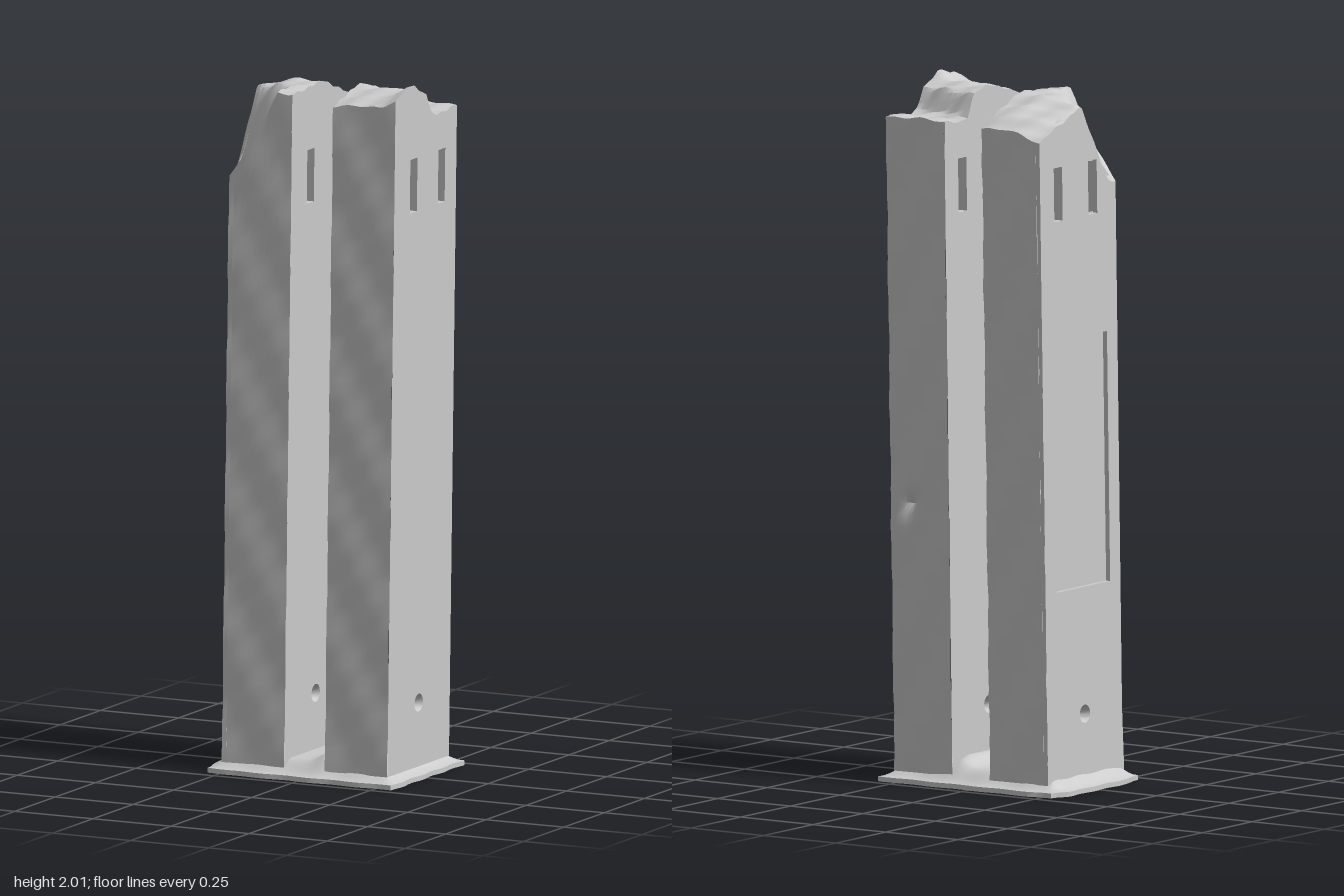
import * as THREE from 'three';
import { toCreasedNormals } from 'three/addons/utils/BufferGeometryUtils.js';

const W = 0.2, D = 0.19, FLOOR = 0.03;
const material = new THREE.MeshStandardMaterial({ color: 0xcccccc });
const clamp = (v) => Math.min(1, Math.max(0, v));
const smooth = (v) => { const t = clamp(v); return t * t * (3 - 2 * t); };

// Straight-line interpolation through [position, value] pairs
function profile(points, p) {
  for (let i = 1; i < points.length; i++) {
    const [a, va] = points[i - 1], [b, vb] = points[i];
    if (p <= b) return va + (vb - va) * clamp((p - a) / (b - a));
  }
  return points[points.length - 1][1];
}

const chips = (u, z) => 0.006 * Math.sin(u * 47 + z * 61) * Math.sin(z * 38 - u * 20 + 1);

// Broken top of the right tower: a ridge with its front outer corner sheared off
function rightTop(u, z) {
  const ridge = profile([[-0.19, 1.91], [-0.12, 1.945], [-0.05, 1.965], [0, 1.985], [0.19, 1.98]], z);
  const side = clamp((0.145 - u) / 0.145);
  const front = clamp((z - 0.02 - u * 0.5) / 0.13);
  return ridge - 0.03 * clamp(1 - u / 0.12) - 0.22 * Math.pow(side, 0.55) * front + chips(u, z);
}

// Broken top of the left tower: a high front half stepping down to the back
function leftTop(u, z) {
  const crack = z + 0.05 - u * 0.2;
  const base = profile([[-0.15, 1.915], [-0.06, 1.905], [-0.02, 1.915], [0.01, 1.975],
    [0.08, 1.99], [0.16, 1.975], [0.24, 1.955]], crack);
  return base + 0.025 * smooth((u - 0.15) / 0.05) * smooth((z - 0.03) / 0.05) + chips(u, z);
}

const HOLE_Y = 0.215;

// One wall layer of a tower, pierced by slots, a drain hole and any extra opening
function layer(top, u0, u1, refU, steps, extra = []) {
  const rows = 56, cols = 32, outline = [];
  const wall = (z, i) => new THREE.Vector2(-z, FLOOR + (top(refU, z) - FLOOR) * i / rows);
  for (let i = 0; i < rows; i++) outline.push(wall(-D, i));
  for (let i = 0; i < cols; i++) {
    const z = -D + 2 * D * i / cols;
    outline.push(new THREE.Vector2(-z, top(refU, z)));
  }
  for (let i = rows; i >= 0; i--) outline.push(wall(D, i));
  const shape = new THREE.Shape(outline);

  const rect = (z0, z1, y0, y1) => new THREE.Path([
    new THREE.Vector2(-z0, y0), new THREE.Vector2(-z0, y1),
    new THREE.Vector2(-z1, y1), new THREE.Vector2(-z1, y0)]);
  shape.holes.push(rect(0.05, 0.094, 1.645, 1.8), rect(-0.122, -0.08, 1.645, 1.8));
  shape.holes.push(new THREE.Path().absarc(0, HOLE_Y, 0.02, 0, Math.PI * 2, false));
  extra.forEach((r) => shape.holes.push(rect(...r)));

  const geo = new THREE.ExtrudeGeometry(shape, { depth: u1 - u0, steps, bevelEnabled: false, curveSegments: 10 });
  geo.rotateY(Math.PI / 2).translate(u0, 0, 0);
  return { geo, refU };
}

// Fits the top, roughens the walls, flares the drain hole and leans the tower
function finish({ geo, refU }, top, x0, pit) {
  const p = geo.attributes.position;
  for (let i = 0; i < p.count; i++) {
    const u = p.getX(i);
    let y = p.getY(i), z = p.getZ(i);
    const edge = Math.abs(Math.abs(z) - D) < 1e-4;
    if (edge || Math.abs(y - top(refU, z)) < 1e-4) {
      y = FLOOR + (y - FLOOR) * (top(u, z) - FLOOR) / (top(refU, z) - FLOOR);
    }
    if (edge) {
      const s = Math.sign(z);
      z += 0.002 * Math.sin(17 * y + 30 * u + s) + 0.0015 * Math.sin(53 * y - 45 * u);
      if (pit && s < 0) z += 0.025 * Math.exp(-(((u - pit[0]) ** 2 + (y - pit[1]) ** 2) / 0.0005));
    }
    if (Math.hypot(z, y - HOLE_Y) < 0.03) {
      const flare = 0.65 + 0.65 * Math.pow(Math.abs(u - W / 2) / (W / 2), 4);
      z *= flare;
      y = HOLE_Y + (y - HOLE_Y) * flare;
    }
    p.setXYZ(i, x0 + u + 0.019 * y / 2, y, z - 0.017 * y / 2);
  }
  return toCreasedNormals(geo, 0.6);
}

function tower(name, top, x0, layers, pit) {
  const group = new THREE.Group();
  group.name = name;
  layers.forEach(([part, l]) => {
    const mesh = new THREE.Mesh(finish(l, top, x0, pit), material);
    mesh.name = part;
    group.add(mesh);
  });
  return group;
}

// Ground slab: thin rough edge, swelling up to the towers, hollow below
function groundSlab() {
  const geo = new THREE.BoxGeometry(0.61, 1, 0.445, 48, 1, 36);
  const p = geo.attributes.position;
  for (let i = 0; i < p.count; i++) {
    let x = p.getX(i), z = p.getZ(i);
    const upper = p.getY(i) > 0;
    const inset = Math.min(0.305 - Math.abs(x), 0.2225 - Math.abs(z));
    const ramp = 0.065 * Math.exp(-(((x - 0.07) / 0.035) ** 2)) * smooth(inset / 0.12);
    const y = upper ? 0.014 + 0.038 * smooth(inset / 0.075) + 0.5 * ramp : 0.035 * smooth(inset / 0.2);
    const corner = smooth((Math.abs(z) - 0.14) / 0.08) * smooth((-x - 0.2) / 0.1);
    const wx = x, wz = z;
    x += 0.02 * corner + 0.003 * Math.sin(wz * 50) * Math.abs(wx) / 0.3;
    z += 0.003 * Math.sin(wx * 41) * Math.abs(wz) / 0.22 - Math.sign(wz) * 0.008 * corner;
    p.setXYZ(i, x, y, z);
  }
  const mesh = new THREE.Mesh(toCreasedNormals(geo, 0.7), material);
  mesh.name = 'groundSlab';
  return mesh;
}

export function createModel() {
  const model = new THREE.Group();
  model.name = 'ruinedTwinTowers';
  const skin = 0.014;
  model.add(groundSlab());
  // Right tower has a sunken panel cut in its outer skin
  model.add(tower('rightTower', rightTop, -0.256, [
    ['panelledSkin', layer(rightTop, 0, skin, 0, 1, [[-0.135, 0.135, 0.58, 1.3]])],
    ['towerBody', layer(rightTop, skin, W, W, 12)],
  ]));
  model.add(tower('leftTower', leftTop, 0.074, [
    ['towerBody', layer(leftTop, 0, W, W, 12)],
  ], [0.135, 0.8]));
  return model;
}
